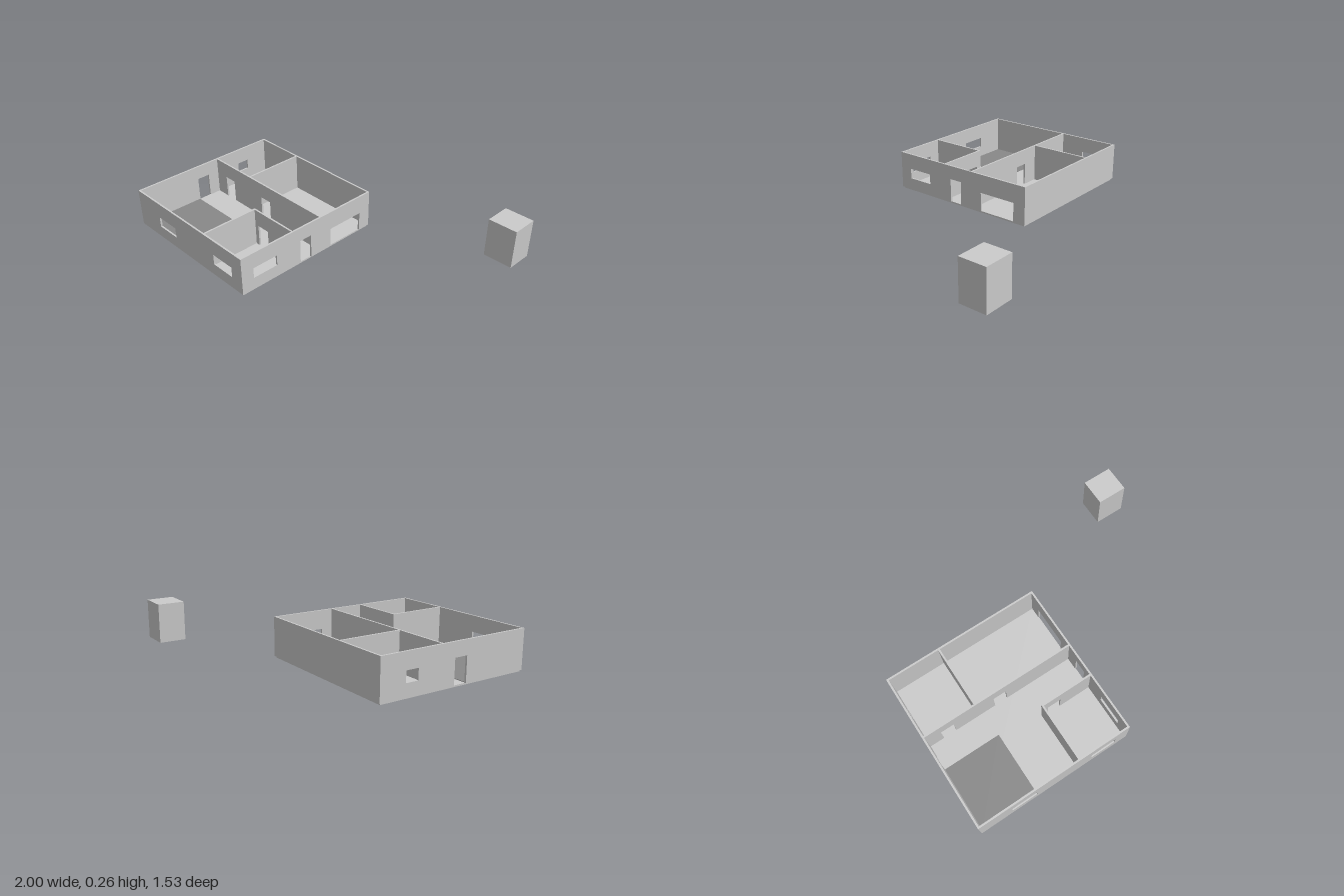
import * as THREE from 'three';

const T = 0.012, BASE = 0.01, TOP = 0.265;
const grey = new THREE.MeshStandardMaterial({ color: 0xcccccc });
const dark = new THREE.MeshStandardMaterial({ color: 0x888888 });

// Solid box given by its limits on each axis
function block(name, [x0, x1], [y0, y1], [z0, z1], material = grey) {
  const mesh = new THREE.Mesh(new THREE.BoxGeometry(x1 - x0, y1 - y0, z1 - z0), material);
  mesh.position.set((x0 + x1) / 2, (y0 + y1) / 2, (z0 + z1) / 2);
  mesh.name = name;
  return mesh;
}

// Wall along 'x' or 'z', centred on `at`. Openings are [start, end, bottom, top];
// those that reach the base become notches, the others holes.
function wall(name, axis, at, start, end, openings = []) {
  const shape = new THREE.Shape().moveTo(start, BASE);
  for (const [a, b, low, high] of openings) {
    if (low <= BASE) {
      shape.lineTo(a, BASE).lineTo(a, high).lineTo(b, high).lineTo(b, BASE);
    } else {
      const hole = new THREE.Path().moveTo(a, low).lineTo(a, high).lineTo(b, high).lineTo(b, low);
      hole.closePath();
      shape.holes.push(hole);
    }
  }
  shape.lineTo(end, BASE).lineTo(end, TOP).lineTo(start, TOP).closePath();
  const geometry = new THREE.ExtrudeGeometry(shape, { depth: T, bevelEnabled: false });
  geometry.translate(0, 0, -T / 2);
  if (axis === 'z') geometry.rotateY(-Math.PI / 2).translate(at, 0, 0);
  else geometry.translate(0, 0, at);
  const mesh = new THREE.Mesh(geometry, grey);
  mesh.name = name;
  return mesh;
}

export function createModel() {
  const model = new THREE.Group();
  model.name = 'floorPlan';
  const h = T / 2;
  const L = -1, R = 0.065, B = -0.298, F = 0.767;
  const windowAt = (a, b) => [a, b, 0.09, 0.16];
  const doorAt = (a, b, top = 0.172) => [a, b, BASE, top];

  // Floor slab, slightly inset, and the dark floor area in the front right corner
  model.add(
    block('floor', [L + 0.008, R - 0.008], [0, BASE], [B + 0.008, F - 0.008]),
    block('darkFloorArea', [L + T, -0.595], [BASE, BASE + 0.003], [0.315, F - T], dark),
  );

  // Outer walls
  model.add(
    wall('frontWall', 'x', F - h, L, R, [windowAt(-0.775, -0.6), windowAt(-0.205, -0.03)]),
    wall('backWall', 'x', B + h, L, R),
    wall('leftWall', 'z', R - h, B + T, F - T,
      [doorAt(-0.21, 0.053, 0.14), doorAt(0.222, 0.312), windowAt(0.5, 0.68)]),
    wall('rightWall', 'z', L + h, B + T, F - T,
      [windowAt(-0.125, -0.04), doorAt(0.222, 0.312)]),
  );

  // Inner walls
  model.add(
    wall('backPartition', 'x', 0.135, L + T, R - T,
      [doorAt(-0.89, -0.8, 0.16), doorAt(-0.51, -0.42, 0.16)]),
    wall('backRoomDivider', 'z', -0.632, B + T, 0.135 - h),
    wall('frontRoomBackWall', 'x', 0.367, -0.295 - h, R - T, [doorAt(-0.26, -0.168, 0.156)]),
    wall('frontRoomSideWall', 'z', -0.295, 0.367 + h, F - T),
  );

  // Detached block
  model.add(block('detachedBlock', [0.8, 1], [0, TOP], [-0.767, -0.585]));
  return model;
}
